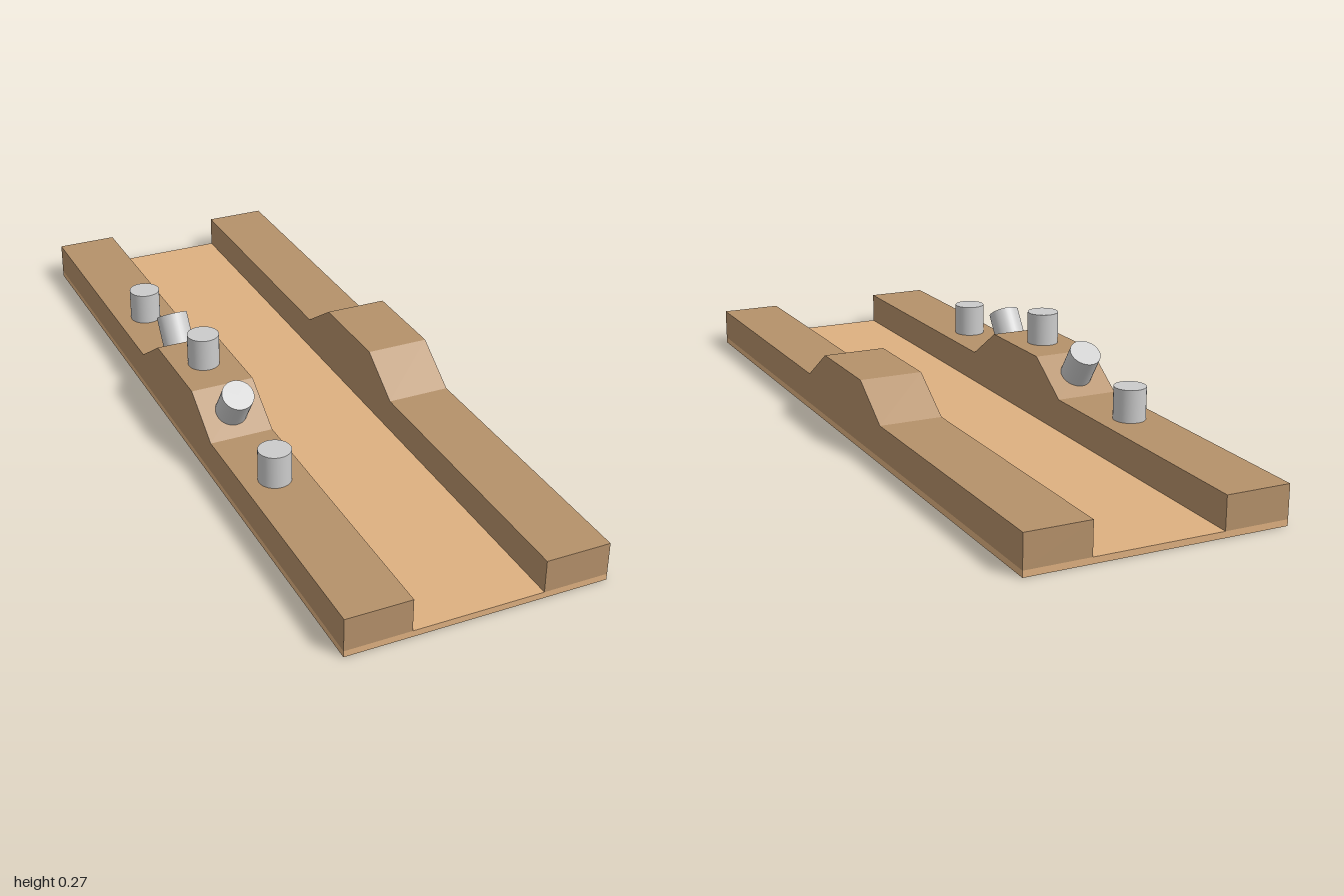
import * as THREE from 'three';

const HALF_WIDTH = 0.33, RAIL_WIDTH = 0.165, BASE = 0.016;
const LOW = 0.1, HIGH = 0.183, RAMP_OUT = 0.247, RAMP_IN = 0.124;
const PEG_RADIUS = 0.041, PEG_HEIGHT = 0.084, PEG_X = -0.249;

export function createModel() {
  const model = new THREE.Group();
  model.name = 'pegTrack';
  const baseMat = new THREE.MeshStandardMaterial({ color: 0xdeb080 });
  const railMat = new THREE.MeshStandardMaterial({ color: 0xb5916a });
  const pegMat = new THREE.MeshStandardMaterial({ color: 0xcccccc });

  const add = (name, geometry, material) => {
    const mesh = new THREE.Mesh(geometry, material);
    mesh.name = name;
    model.add(mesh);
    return mesh;
  };

  // Thin floor board
  add('baseBoard', new THREE.BoxGeometry(HALF_WIDTH * 2, BASE, 2), baseMat)
    .position.y = BASE / 2;

  // Side rails: a length profile with a raised, ramped middle
  const profile = new THREE.Shape([
    [-1, BASE], [1, BASE], [1, LOW], [RAMP_OUT, LOW], [RAMP_IN, HIGH],
    [-RAMP_IN, HIGH], [-RAMP_OUT, LOW], [-1, LOW],
  ].map(([z, y]) => new THREE.Vector2(z, y)));
  const railGeo = new THREE.ExtrudeGeometry(profile, { depth: RAIL_WIDTH, bevelEnabled: false });
  railGeo.rotateY(-Math.PI / 2);
  add('leftRail', railGeo, railMat).position.x = HALF_WIDTH;
  add('rightRail', railGeo, railMat).position.x = RAIL_WIDTH - HALF_WIDTH;

  // Pegs standing square to the right rail's surface: flats, ramps and crest
  const pegGeo = new THREE.CylinderGeometry(PEG_RADIUS, PEG_RADIUS, PEG_HEIGHT, 32);
  pegGeo.translate(0, PEG_HEIGHT / 2, 0);
  const slope = Math.atan2(HIGH - LOW, RAMP_OUT - RAMP_IN);
  const rampZ = (RAMP_OUT + RAMP_IN) / 2, rampY = (LOW + HIGH) / 2;
  const pegs = [
    ['frontPeg', 0.455, LOW, 0],
    ['frontRampPeg', rampZ, rampY, slope],
    ['crestPeg', 0, HIGH, 0],
    ['backRampPeg', -rampZ, rampY, -slope],
    ['backPeg', -0.455, LOW, 0],
  ];
  for (const [name, z, y, tilt] of pegs) {
    const peg = add(name, pegGeo, pegMat);
    peg.position.set(PEG_X, y, z);
    peg.rotation.x = tilt;
  }
  return model;
}
